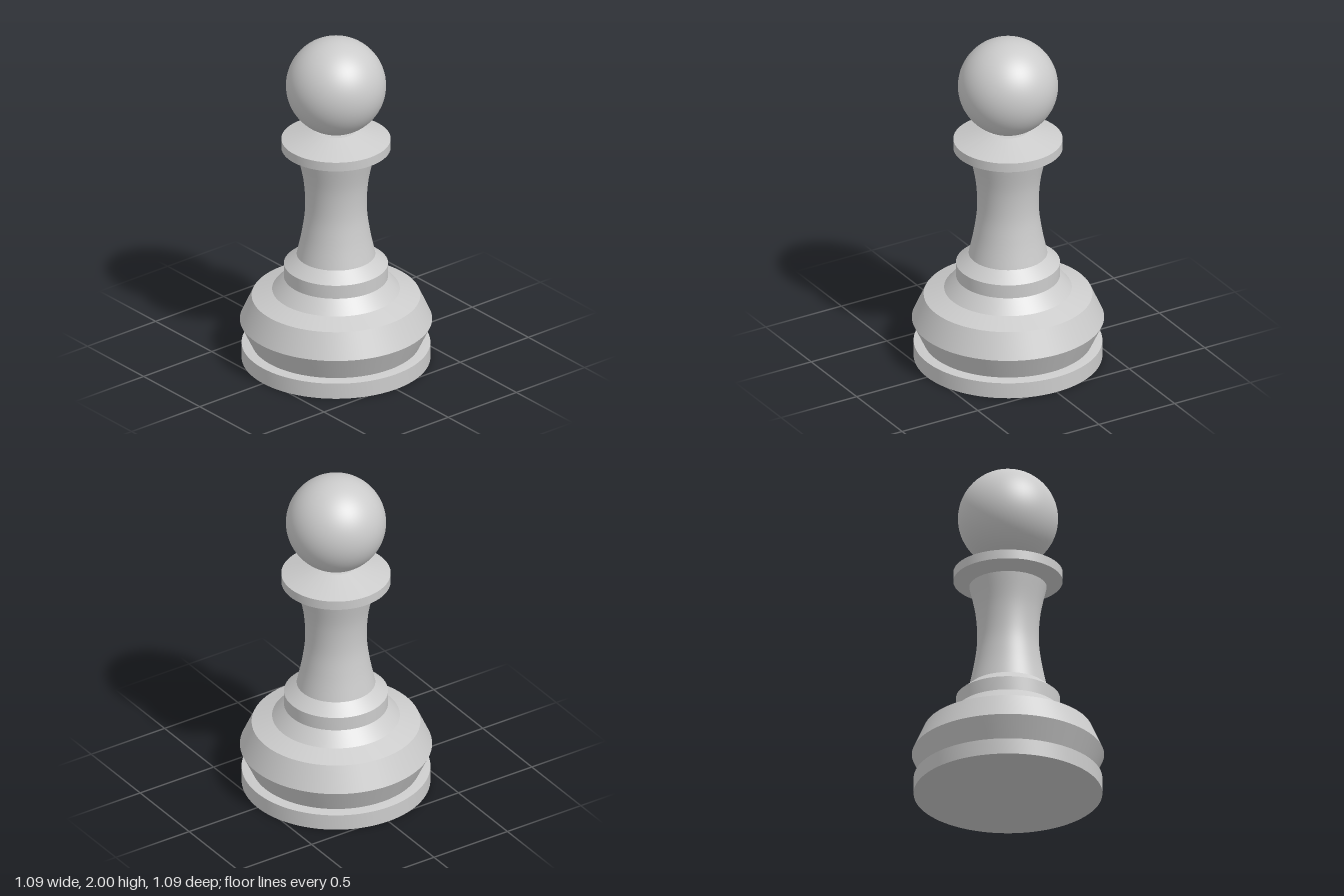
import * as THREE from 'three';
import { toCreasedNormals } from 'three/addons/utils/BufferGeometryUtils.js';

const SEGMENTS = 96;
const material = new THREE.MeshStandardMaterial({ color: 0xcccccc });

// Revolves a profile of [radius, height] pairs, listed from bottom to top
function turned(name, profile) {
  const points = profile.map(([r, y]) => new THREE.Vector2(r, y));
  const geometry = toCreasedNormals(new THREE.LatheGeometry(points, SEGMENTS), 0.3);
  const mesh = new THREE.Mesh(geometry, material);
  mesh.name = name;
  return mesh;
}

export function createModel() {
  const pawn = new THREE.Group();
  pawn.name = 'pawn';

  // Flat foot disc, with a narrow groove above it
  pawn.add(turned('foot', [[0, 0], [0.535, 0], [0.535, 0.095], [0.47, 0.105], [0, 0.105]]));

  // Wide bevelled base
  pawn.add(turned('base', [
    [0, 0.1], [0.478, 0.1], [0.545, 0.243], [0.478, 0.392], [0.362, 0.434], [0.295, 0.513],
  ]));

  // Ring under the stem
  pawn.add(turned('lowerRing', [[0.295, 0.513], [0.295, 0.595], [0.223, 0.655], [0.18, 0.655]]));

  // Concave stem
  const stemCurve = new THREE.SplineCurve([
    [0.223, 0.655], [0.193, 0.8], [0.175, 0.95], [0.184, 1.12], [0.22, 1.29],
  ].map(([r, y]) => new THREE.Vector2(r, y)));
  pawn.add(turned('stem', stemCurve.getPoints(24).map((p) => [p.x, p.y])));

  // Collar beneath the head
  pawn.add(turned('collar', [
    [0.18, 1.288], [0.22, 1.288], [0.31, 1.325], [0.31, 1.38], [0.12, 1.442], [0, 1.442],
  ]));

  // Ball head
  const head = new THREE.Mesh(new THREE.SphereGeometry(0.284, 64, 40), material);
  head.name = 'head';
  head.position.y = 1.716;
  pawn.add(head);

  return pawn;
}
